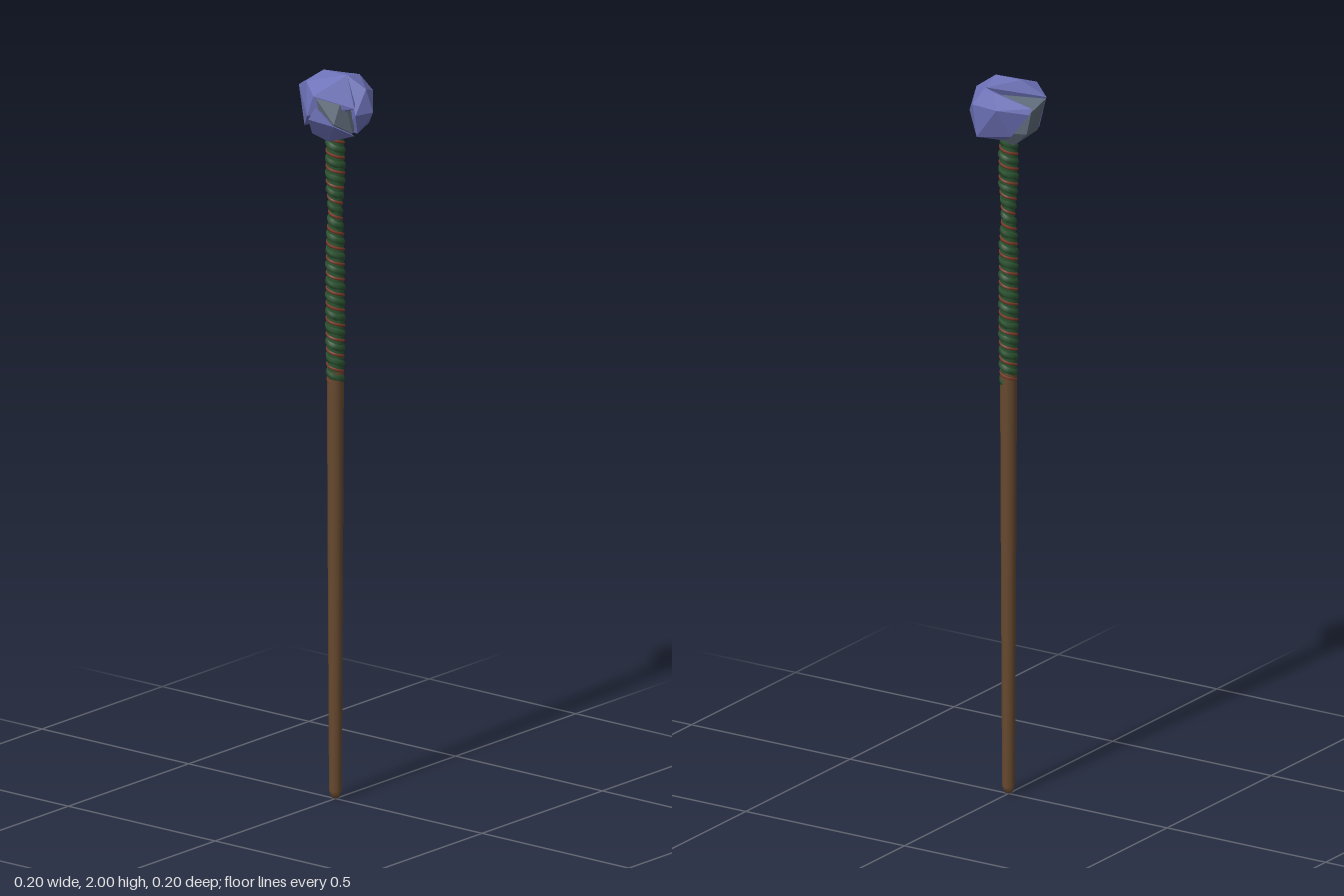
import * as THREE from 'three';
import { ConvexGeometry } from 'three/addons/geometries/ConvexGeometry.js';

const mat = (name, color, flatShading = false) => {
  const m = new THREE.MeshStandardMaterial({ color, flatShading });
  m.name = name;
  return m;
};

// Radius of the grip at height y, pinched below the head
const gripProfile = [[1.14, 0.025], [1.3, 0.028], [1.53, 0.027], [1.62, 0.021], [1.71, 0.028], [1.79, 0.028], [1.85, 0.024]];
function gripRadius(y) {
  for (let i = 1; i < gripProfile.length; i++) {
    const [y0, r0] = gripProfile[i - 1], [y1, r1] = gripProfile[i];
    if (y <= y1) return THREE.MathUtils.mapLinear(y, y0, y1, r0, r1);
  }
  return gripProfile.at(-1)[1];
}

// Cord wound around the grip
function cord(thickness, sink, phase) {
  const pts = [], pitch = 0.042, y0 = 1.15, y1 = 1.84, n = 200;
  for (let i = 0; i <= n; i++) {
    const y = y0 + (y1 - y0) * i / n;
    const a = (y - y0) / pitch * Math.PI * 2 + phase;
    const r = gripRadius(y) - sink;
    pts.push(new THREE.Vector3(Math.cos(a) * r, y, Math.sin(a) * r));
  }
  return new THREE.TubeGeometry(new THREE.CatmullRomCurve3(pts), 400, thickness, 6);
}

export function createModel() {
  const group = new THREE.Group();
  const wood = mat('brown wood', 0x66492f);
  const green = mat('green cord', 0x2b5230);
  const red = mat('red cord', 0x7c3a28);
  const crystal = mat('violet crystal', 0x6d72b8, true);
  const stone = mat('grey stone', 0x5f6b7a, true);

  const add = (name, geometry, material) => {
    const mesh = new THREE.Mesh(geometry, material);
    mesh.name = name;
    group.add(mesh);
  };
  const lathe = (profile, sides) =>
    new THREE.LatheGeometry(profile.map(([y, r]) => new THREE.Vector2(r, y)), sides);
  const rock = (pts) => new ConvexGeometry(pts.map((p) => new THREE.Vector3(...p)));

  // Tapered shaft with a blunt tip
  add('shaft', lathe([[0, 0], [0.004, 0.01], [0.022, 0.017], [0.4, 0.019], [0.8, 0.021], [1.18, 0.0225]], 10), wood);

  // Grip core and its two cords
  add('gripCore', lathe(gripProfile.map(([y, r]) => [y, r - 0.004]), 12), green);
  add('greenCord', cord(0.013, 0.0125, 0), green);
  add('redCord', cord(0.0045, 0.0058, Math.PI), red);

  // Stone core, exposed in the groove, at the front left and low at the back
  add('stoneCore', rock([
    [-0.03, 1.95, -0.098], [0.035, 1.93, -0.095], [0.06, 1.965, 0.028], [-0.088, 1.955, 0],
    [-0.08, 1.885, 0.06], [-0.02, 1.85, 0.075], [-0.03, 1.955, 0.05], [-0.07, 1.88, -0.03],
    [-0.04, 1.825, 0.01], [0.02, 1.82, -0.03], [0.035, 1.865, -0.08], [0.06, 1.86, 0.03],
    [-0.025, 1.86, -0.075],
  ]), stone);

  // Crystal chunk across the top and left
  add('topCrystal', rock([
    [-0.03, 1.955, -0.1], [-0.1, 1.9, -0.015], [-0.092, 1.955, 0], [-0.06, 1.98, -0.05],
    [0, 2, -0.04], [0, 2, 0.04], [0.065, 1.985, 0.03], [-0.022, 1.92, 0.083],
    [-0.055, 1.855, -0.06],
  ]), crystal);

  // Crystal chunk low on the left, below the stone band
  add('lowerCrystal', rock([
    [-0.083, 1.88, 0.061], [-0.093, 1.925, 0.008], [-0.015, 1.842, 0.078], [-0.04, 1.82, 0.01],
    [-0.098, 1.89, -0.012], [-0.06, 1.84, -0.03], [-0.03, 1.86, 0.03],
  ]), crystal);

  // Crystal chunk at the front
  add('frontCrystal', rock([
    [0, 2, 0.04], [0.065, 1.985, 0.03], [0.09, 1.94, 0.055], [0.035, 1.9, 0.1],
    [0.02, 1.965, 0.088], [-0.02, 1.9, 0.085], [0.085, 1.85, 0.045], [0, 1.845, 0.075],
    [0.02, 1.84, 0.02],
  ]), crystal);

  // Crystal chunk on the right, reaching to the back
  add('sideCrystal', rock([
    [0.065, 1.985, 0.03], [0.075, 1.98, 0], [0.1, 1.94, -0.027], [0.09, 1.94, 0.055],
    [0.085, 1.85, 0.045], [0.035, 1.94, -0.097], [0.045, 1.925, -0.095], [0.062, 1.86, -0.048],
    [0.035, 1.835, -0.005],
  ]), crystal);

  return group;
}
